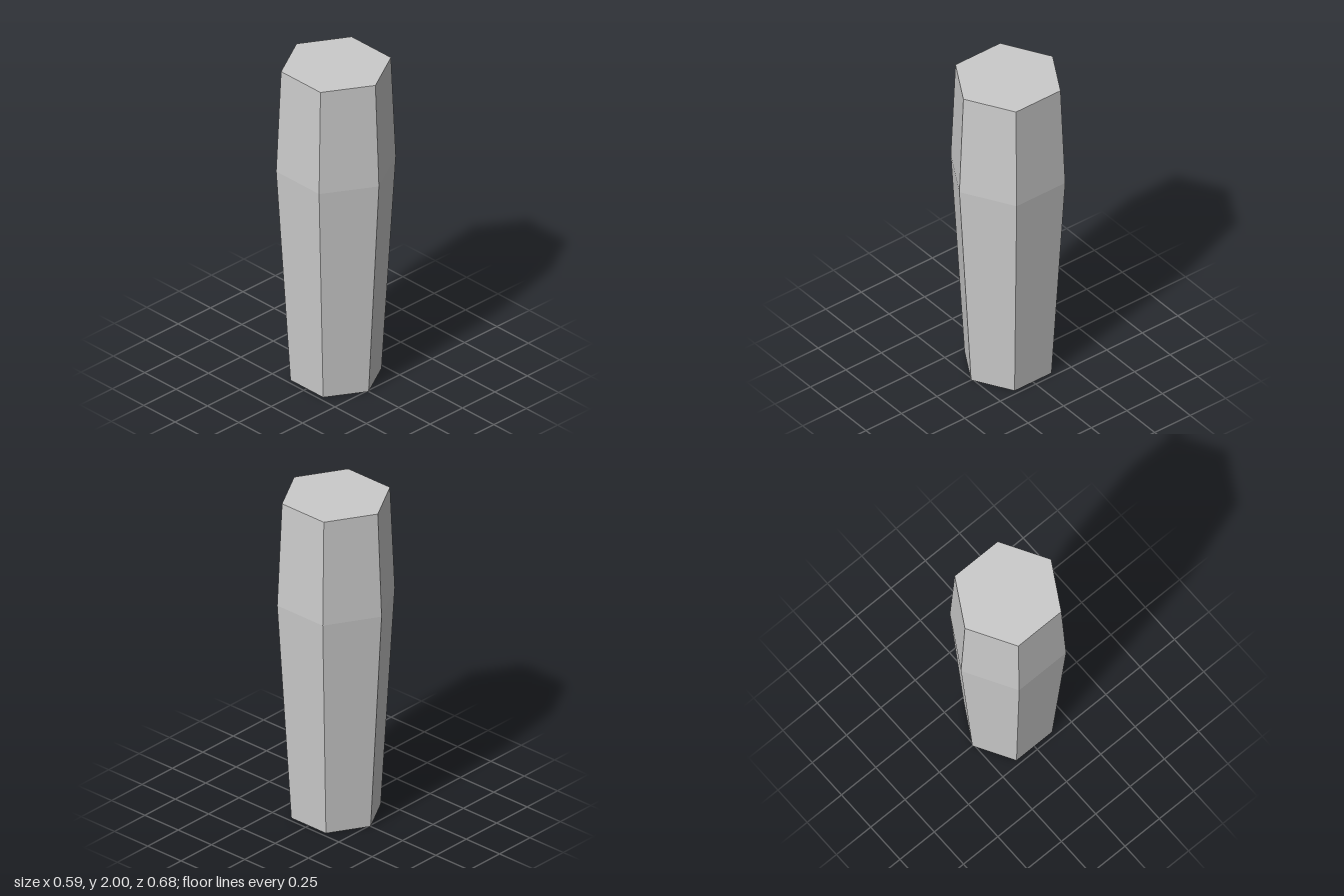
import * as THREE from 'three';

const SIDES = 6;
const HEIGHT = 2;
const BOTTOM_RADIUS = 0.26;
const TOP_RADIUS = 0.314;
const SHOULDER_RADIUS = 0.342;
const SHOULDER_Y = 1.36;

export function createModel() {
  const group = new THREE.Group();
  group.name = 'hexagonalPost';

  // Capped six-sided prism with one middle ring, a corner facing the front
  const geometry = new THREE.CylinderGeometry(TOP_RADIUS, BOTTOM_RADIUS, HEIGHT, SIDES, 2);
  geometry.translate(0, HEIGHT / 2, 0);

  // Raise and widen the middle ring into the shoulder
  const position = geometry.attributes.position;
  const widen = SHOULDER_RADIUS / ((TOP_RADIUS + BOTTOM_RADIUS) / 2);
  for (let i = 0; i < position.count; i++) {
    if (Math.abs(position.getY(i) - HEIGHT / 2) > 0.01) continue;
    position.setXYZ(i, position.getX(i) * widen, SHOULDER_Y, position.getZ(i) * widen);
  }

  // Flat facets
  const faceted = geometry.toNonIndexed();
  faceted.computeVertexNormals();

  const material = new THREE.MeshStandardMaterial({ color: 0xcccccc, flatShading: true });
  const body = new THREE.Mesh(faceted, material);
  body.name = 'taperedBody';
  group.add(body);
  return group;
}
